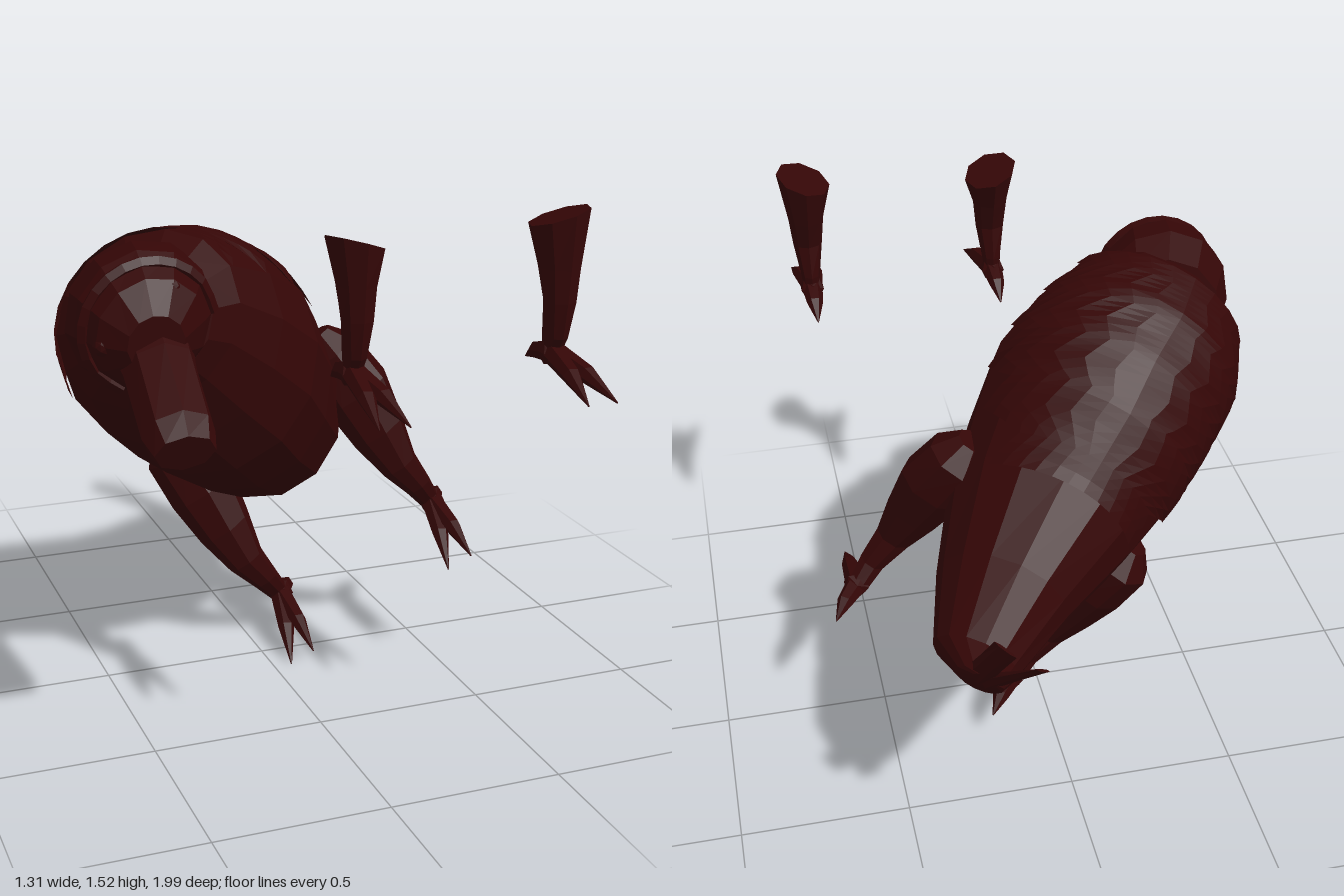
import * as THREE from 'three';

const V = (x, y, z) => new THREE.Vector3(x, y, z);
const mat = new THREE.MeshStandardMaterial({ color: 0x340606, flatShading: true });
const thinMat = mat.clone();
thinMat.side = THREE.DoubleSide;

// Leaning body frame: side and up axes
const SIDE = V(0.78, 0.555, 0.295).normalize();
const UP = V(-0.313, 0.75, -0.584).normalize();
// Head frame, with the face turned to the front
const FACE_SIDE = V(0.79, 0.61, 0.05).normalize();
const FACE_UP = V(-0.6, 0.78, 0.1).normalize();

function named(geo, name, material = mat) {
  const m = new THREE.Mesh(geo, material);
  m.name = name;
  return m;
}

function build(pos, idx) {
  const g = new THREE.BufferGeometry();
  g.setAttribute('position', new THREE.Float32BufferAttribute(pos, 3));
  g.setIndex(idx);
  g.computeVertexNormals();
  return g;
}

// Closed skin over elliptical rings [x, y, z, radiusA, radiusB]
function loft(rings, sides, axisA, axisB) {
  const first = rings[0], last = rings[rings.length - 1];
  const dir = V(last[0] - first[0], last[1] - first[1], last[2] - first[2]).normalize();
  const A = axisA ? axisA.clone().normalize() : V(1, 0, 0).addScaledVector(dir, -dir.x).normalize();
  const B = axisB ? axisB.clone().normalize() : dir.clone().cross(A);
  if (A.clone().cross(B).dot(dir) < 0) B.negate();
  const pos = [], idx = [];
  for (const [x, y, z, a, b = a] of rings) {
    for (let i = 0; i < sides; i++) {
      const t = (i / sides) * Math.PI * 2;
      const p = V(x, y, z).addScaledVector(A, a * Math.cos(t)).addScaledVector(B, b * Math.sin(t));
      pos.push(p.x, p.y, p.z);
    }
  }
  const n = rings.length * sides;
  pos.push(...first.slice(0, 3), ...last.slice(0, 3));
  for (let i = 0; i < sides; i++) {
    const j = (i + 1) % sides;
    for (let r = 0; r < rings.length - 1; r++) {
      const a = r * sides + i, b = r * sides + j;
      idx.push(a, b, b + sides, a, b + sides, a + sides);
    }
    idx.push(n, j, i, n + 1, n - sides + i, n - sides + j);
  }
  return build(pos, idx);
}

// Tapering toe with a slight arch
function toe(from, to, r) {
  const mid = from.clone().lerp(to, 0.55).add(V(0, 0.012, 0));
  return named(loft([[...from.toArray(), r], [...mid.toArray(), r * 0.75], [...to.toArray(), 0.002]], 6), 'toe');
}

function foot(centre, tips, r) {
  const g = new THREE.Group();
  g.name = 'foot';
  for (const t of tips) g.add(toe(centre, t, r));
  const ball = named(new THREE.IcosahedronGeometry(r * 1.25, 0), 'footBall');
  ball.position.copy(centre);
  g.add(ball);
  return g;
}

const BODY = [
  [0.315, 0.74, -0.80, 0.035, 0.035], [0.32, 0.70, -0.75, 0.07, 0.07], [0.31, 0.665, -0.63, 0.125, 0.13],
  [0.19, 0.69, -0.40, 0.195, 0.225], [0.03, 0.775, -0.18, 0.285, 0.31], [-0.10, 0.895, -0.06, 0.33, 0.345],
  [-0.20, 1.00, 0.04, 0.35, 0.345], [-0.32, 1.095, 0.13, 0.335, 0.305], [-0.42, 1.18, 0.23, 0.275, 0.24],
  [-0.45, 1.20, 0.31, 0.20, 0.18],
];

// Feathered cape following the back, with large jagged lower edges
function cape() {
  const cols = 30, rows = 12, pos = [], idx = [];
  for (let c = 0; c <= cols; c++) {
    const u = 3.9 + (c / cols) * 4.1, k = Math.min(Math.floor(u), BODY.length - 2), f = u - k;
    const [x, y, z, a, b] = BODY[k].map((v, i) => v + (BODY[k + 1][i] - v) * f);
    const half = 0.65 + 0.55 * Math.min(1, c / 10) + 0.4 * Math.abs((c % 6) / 3 - 1);
    for (let i = 0; i <= rows; i++) {
      const t = Math.PI / 2 + (i / rows * 2 - 1) * half;
      const p = V(x, y, z).addScaledVector(SIDE, 1.025 * a * Math.cos(t)).addScaledVector(UP, 1.025 * b * Math.sin(t));
      pos.push(p.x, p.y, p.z);
      if (c < cols && i < rows) {
        const m = c * (rows + 1) + i, n = m + rows + 1;
        idx.push(m, m + 1, n + 1, m, n + 1, n);
      }
    }
  }
  return named(build(pos, idx), 'featherCape', thinMat);
}

function leg(name, offset) {
  const g = new THREE.Group();
  g.name = name;
  g.add(named(loft([
    [0.205, 1.005, -0.075, 0.045], [0.24, 0.945, -0.065, 0.10], [0.312, 0.83, -0.015, 0.112, 0.105],
    [0.37, 0.71, 0.032, 0.09, 0.083], [0.43, 0.60, 0.065, 0.06, 0.054], [0.50, 0.52, 0.06, 0.043, 0.04],
    [0.555, 0.455, 0.03, 0.033],
  ], 8, V(0.85, 0.53, 0), V(-0.1, 0.16, 0.98)), 'shank'));
  g.add(foot(V(0.56, 0.455, 0.03), [V(0.565, 0.37, 0.31), V(0.50, 0.327, 0.29), V(0.64, 0.42, -0.09)], 0.034));
  g.position.copy(offset);
  return g;
}

// Detached forelimb with a slanted top; s mirrors the slant
function forelimb(name, x, s, top) {
  const g = new THREE.Group();
  g.name = name;
  const geo = loft([
    [0, 1.12, 0.72, 0.025], [0, 1.17, 0.733, 0.03, 0.045], [0, 1.27, 0.748, 0.045],
    [0, 1.36, 0.735, 0.054, 0.066], [0, top, 0.722, 0.08, 0.09],
  ], 8, V(1, 0, 0), V(0, 0, 1));
  const p = geo.attributes.position;
  for (let i = 0; i < p.count; i++) {
    if (p.getY(i) > 1.43) p.setY(i, p.getY(i) + 0.3 * s * p.getX(i) + 0.15 * (p.getZ(i) - 0.72));
  }
  geo.computeVertexNormals();
  g.add(named(geo, 'arm'));
  g.add(foot(V(0, 1.125, 0.72), [V(-0.042, 1.055, 0.995), V(0.042, 1.055, 0.995), V(0, 1.075, 0.58)], 0.033));
  g.position.x = x;
  return g;
}

// Flat tail plume with a slanted tip
function plume(base, tip, across) {
  const m = base.clone().lerp(tip, 0.5);
  return named(loft([
    [...base.toArray(), 0.045, 0.03], [...m.toArray(), 0.042, 0.016], [...tip.toArray(), 0.042, 0.005],
  ], 6, across), 'tailPlume');
}

export function createModel() {
  const model = new THREE.Group();
  model.name = 'featheredCreature';
  model.add(named(loft(BODY, 14, SIDE, UP), 'body'), cape());
  model.add(
    plume(V(0.30, 0.70, -0.76), V(0.197, 0.90, -0.97), V(0.05, 0.06, -0.05)),
    plume(V(0.325, 0.72, -0.75), V(0.288, 0.965, -0.945), V(-0.04, 0, -0.07)),
  );

  // Head and beak
  model.add(named(loft([
    [-0.42, 1.19, 0.17, 0.19], [-0.45, 1.205, 0.27, 0.215, 0.215], [-0.46, 1.21, 0.36, 0.20, 0.205],
    [-0.475, 1.205, 0.46, 0.155, 0.15], [-0.48, 1.19, 0.525, 0.08],
  ], 12, FACE_SIDE, FACE_UP), 'head'));
  model.add(named(loft([
    [-0.46, 1.17, 0.38, 0.12, 0.11], [-0.465, 1.11, 0.50, 0.10, 0.10],
    [-0.475, 0.995, 0.69, 0.098, 0.09], [-0.475, 0.965, 0.745, 0.082, 0.06],
  ], 8, V(1, 0, 0), V(0, 0.89, 0.45)), 'beak'));

  // Hood edge framing the face, and eyes
  const arc = [];
  for (let i = 0; i <= 8; i++) {
    const t = -0.5 + (i / 8) * (Math.PI + 1);
    arc.push(V(-0.465, 1.205, 0.40).addScaledVector(FACE_SIDE, 0.18 * Math.cos(t)).addScaledVector(FACE_UP, 0.18 * Math.sin(t)));
  }
  model.add(named(new THREE.TubeGeometry(new THREE.CatmullRomCurve3(arc), 16, 0.02, 5), 'hoodEdge'));
  for (const p of [V(-0.42, 1.32, 0.455), V(-0.60, 1.18, 0.45)]) {
    const eye = named(new THREE.IcosahedronGeometry(0.032, 1), 'eye');
    eye.position.copy(p);
    model.add(eye);
  }

  model.add(leg('leftLeg', V(0, 0, 0)), leg('rightLeg', V(-0.445, -0.322, -0.17)));
  model.add(forelimb('leftForelimb', 0.567, 1, 1.495), forelimb('rightForelimb', -0.015, -1, 1.465));
  return model;
}
